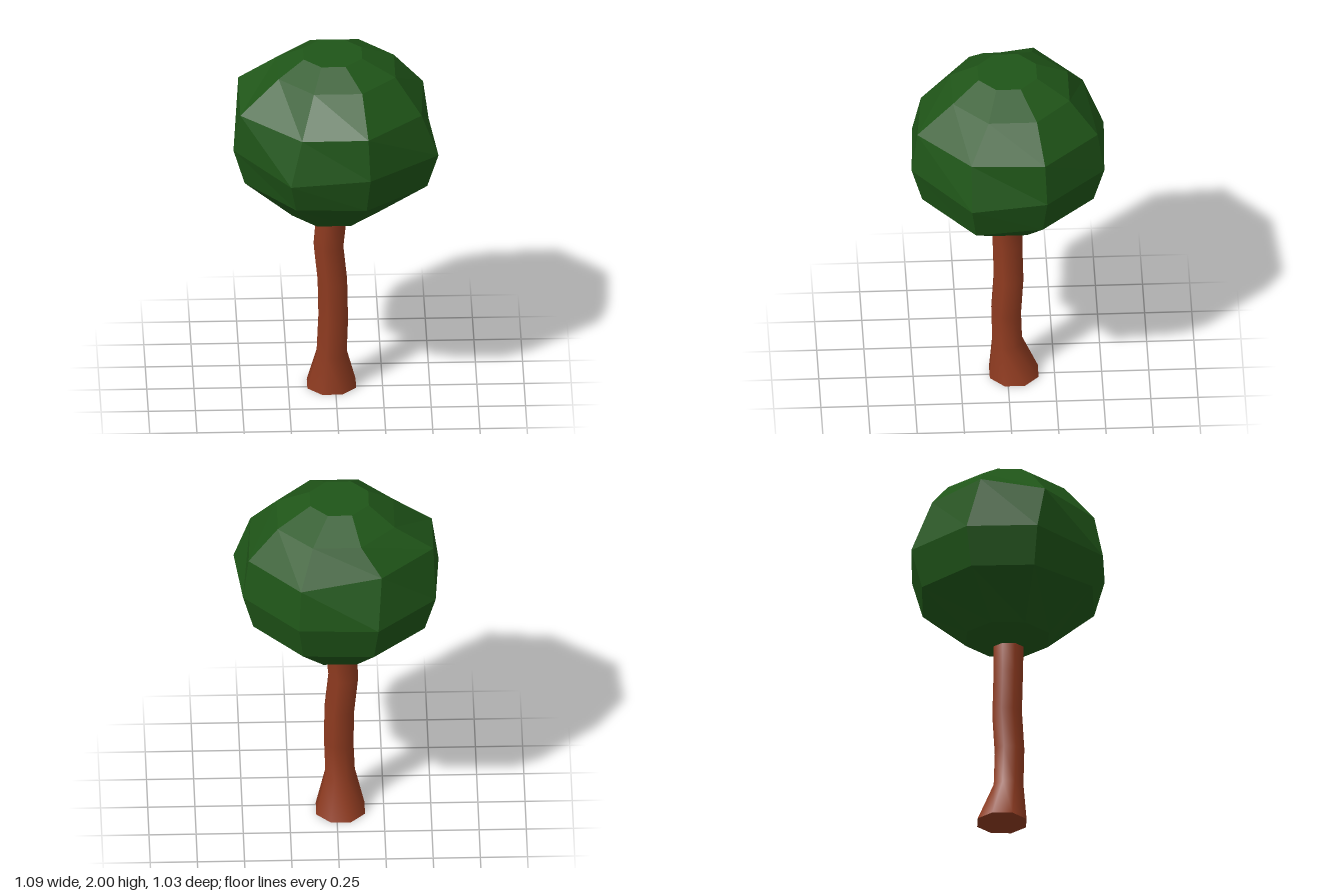
import * as THREE from 'three';

const SIDES = 8;

// Regular octagon ring with flat sides facing the axes
function ring(y, r, cx = 0, cz = 0) {
  return Array.from({ length: SIDES }, (_, j) => {
    const a = (j + 0.5) * Math.PI * 2 / SIDES;
    return [cx + r * Math.cos(a), y, cz + r * Math.sin(a)];
  });
}

// Ring through an irregular outline of [x, z] corners, optionally scaled
function outline(y, corners, s = 1, lift = []) {
  return corners.map(([x, z], j) => [x * s, y + (lift[j] || 0), z * s]);
}

// Skin a stack of rings from bottom to top and close both ends
function loft(rings) {
  const pos = rings.flat(2), index = [];
  for (let i = 0; i < rings.length - 1; i++) {
    for (let j = 0; j < SIDES; j++) {
      const k = (j + 1) % SIDES;
      const a = i * SIDES + j, b = i * SIDES + k;
      index.push(a, a + SIDES, b + SIDES, a, b + SIDES, b);
    }
  }
  // Caps use their own corners so the rims stay sharp
  const bottom = pos.length / 3, top = bottom + SIDES;
  pos.push(...rings[0].flat(), ...rings[rings.length - 1].flat());
  for (let j = 1; j < SIDES - 1; j++) {
    index.push(bottom, bottom + j, bottom + j + 1);
    index.push(top, top + j + 1, top + j);
  }
  const g = new THREE.BufferGeometry();
  g.setAttribute('position', new THREE.Float32BufferAttribute(pos, 3));
  g.setIndex(index);
  g.computeVertexNormals();
  return g;
}

export function createModel() {
  const tree = new THREE.Group();
  tree.name = 'tree';

  // Trunk: slightly bent, flared at the foot
  const trunk = new THREE.Mesh(
    loft([
      ring(0, 0.14, -0.02, -0.035),
      ring(0.21, 0.085, -0.02, 0),
      ring(0.42, 0.084, -0.012, 0.006),
      ring(0.64, 0.084, -0.016, -0.007),
      ring(0.85, 0.084, -0.037, -0.002),
      ring(1.04, 0.086, -0.02, 0),
    ]),
    new THREE.MeshStandardMaterial({ color: 0x8f3b20 })
  );
  trunk.name = 'trunk';
  tree.add(trunk);

  // Crown: faceted, irregular ball of leaves
  const widest = [[0.54, 0.21], [0.17, 0.515], [-0.25, 0.495], [-0.545, 0.14],
    [-0.52, -0.235], [-0.21, -0.52], [0.21, -0.505], [0.5, -0.19]];
  const shoulder = [[0.45, 0.21], [0.16, 0.485], [-0.19, 0.45], [-0.51, 0.18],
    [-0.51, -0.16], [-0.23, -0.41], [0.2, -0.47], [0.47, -0.18]];
  const crown = new THREE.Mesh(
    loft([
      ring(1.015, 0.095, -0.02, 0),
      ring(1.075, 0.235, -0.015, -0.005),
      outline(1.295, widest, 0.89),
      outline(1.5, widest, 1, [-0.01, 0, -0.04]),
      outline(1.73, shoulder, 1, [0, 0, -0.02, 0, 0.05, 0.04]),
      ring(1.91, 0.335, 0.005, -0.015),
      ring(2, 0.168, -0.015, 0),
    ]),
    new THREE.MeshStandardMaterial({ color: 0x1f5518, flatShading: true })
  );
  crown.name = 'crown';
  tree.add(crown);

  return tree;
}
